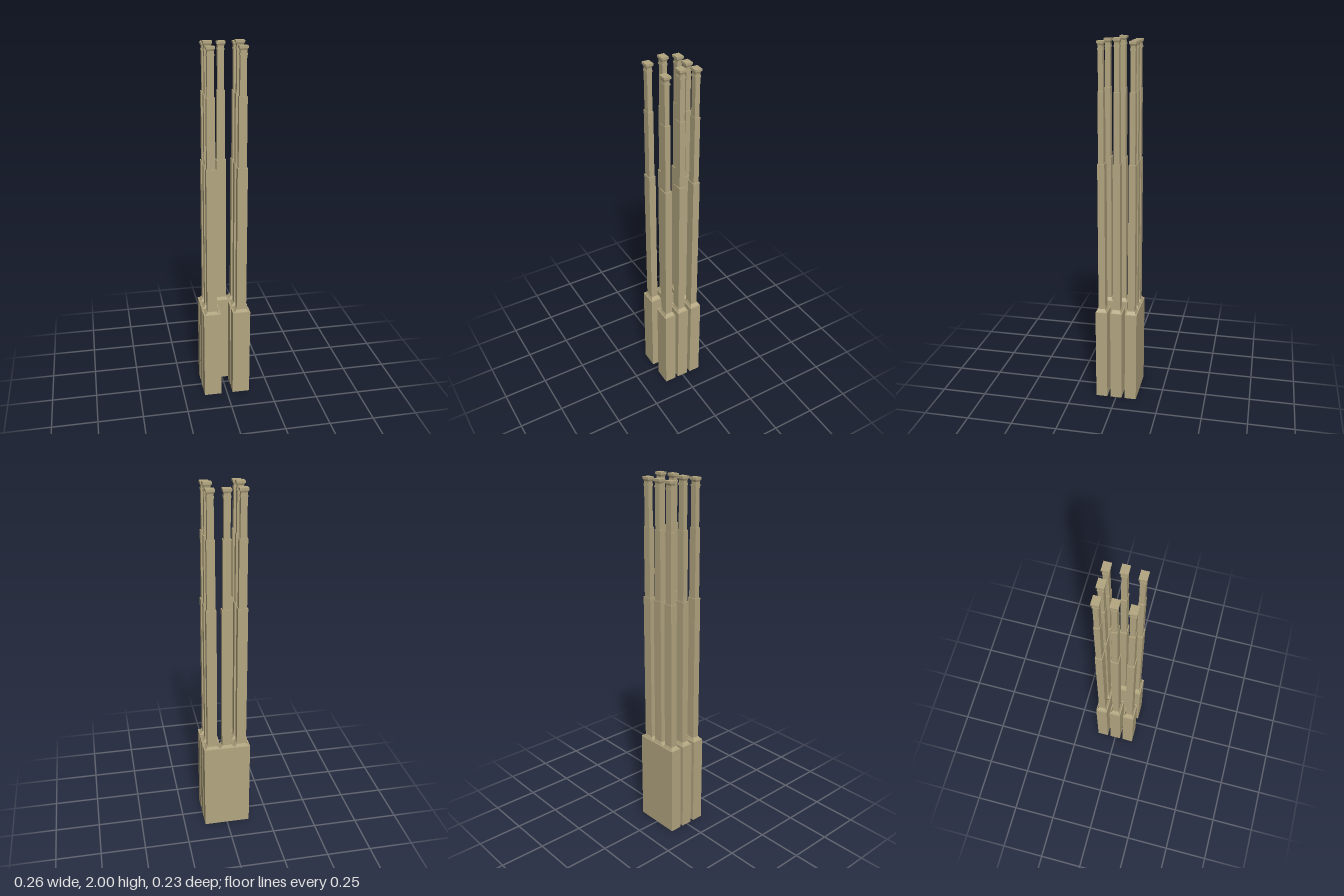
import * as THREE from 'three';

const stone = new THREE.MeshStandardMaterial({ color: 0xb3a680 });
stone.name = 'sandstone';

// Box standing on y0 with its top at y1
function block(name, w, d, y0, y1, x = 0, z = 0) {
  const mesh = new THREE.Mesh(new THREE.BoxGeometry(w, y1 - y0, d), stone);
  mesh.name = name;
  mesh.position.set(x, (y0 + y1) / 2, z);
  return mesh;
}

// Box whose top is narrowed or widened to w1 x d1
function taper(name, w0, d0, w1, d1, y0, y1) {
  const mesh = block(name, w0, d0, y0, y1);
  const p = mesh.geometry.attributes.position;
  for (let i = 0; i < p.count; i++) {
    if (p.getY(i) > 0) {
      p.setX(i, Math.sign(p.getX(i)) * w1 / 2);
      p.setZ(i, Math.sign(p.getZ(i)) * d1 / 2);
    }
  }
  mesh.geometry = mesh.geometry.toNonIndexed();
  mesh.geometry.computeVertexNormals();
  return mesh;
}

// Stepped chimney with a sloped foot and a two-tier cap
function chimney(x, z, top) {
  const g = new THREE.Group();
  g.name = 'chimney';
  g.position.set(x, 0, z);
  g.add(
    taper('slopedFoot', 0.083, 0.054, 0.056, 0.040, 0.52, 0.538),
    block('lowerShaft', 0.054, 0.038, 0.53, 1.362),
    block('middleShaft', 0.044, 0.030, 1.362, 1.735),
    block('upperShaft', 0.034, 0.026, 1.735, top - 0.01),
    block('collar', 0.038, 0.031, top - 0.045, top - 0.035),
    taper('capFlare', 0.034, 0.026, 0.042, 0.034, top - 0.022, top - 0.012),
    block('capSlab', 0.046, 0.038, top - 0.012, top)
  );
  return g;
}

export function createModel() {
  const model = new THREE.Group();
  model.name = 'chimneyCluster';
  const pitch = 0.083;

  // Back row: one wide base carrying three chimneys
  model.add(block('backBase', 0.262, 0.064, 0, 0.522, 0, -pitch));
  for (const x of [-pitch, 0, pitch]) model.add(chimney(x, -pitch, 1.985));

  // Two separate towers on each side
  for (const x of [-1, 1]) {
    for (const z of [0, pitch]) {
      model.add(block('sideBase', 0.098, 0.064, 0, 0.522, x * 0.082, z));
      model.add(chimney(x * pitch, z, z === 0 ? 2 : 1.985));
    }
  }
  return model;
}
